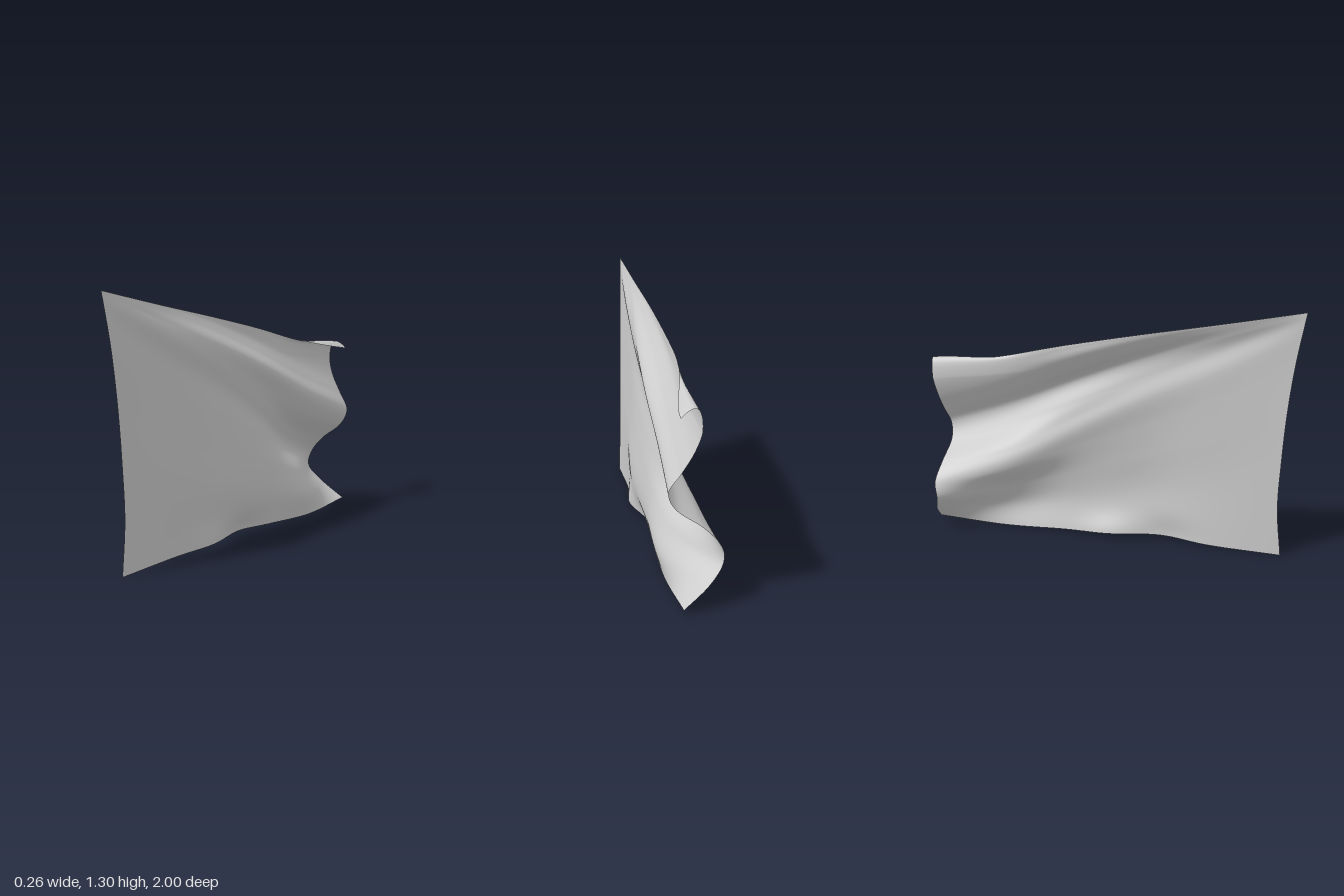
import * as THREE from 'three';

// Smooth curve through evenly spaced values, t in 0..1
function spline(a, t) {
  const n = a.length - 1;
  const i = Math.min(Math.floor(t * n), n - 1);
  const at = (k) => k < 0 ? 2 * a[0] - a[1] : k > n ? 2 * a[n] - a[n - 1] : a[k];
  const f = t * n - i;
  const p0 = at(i - 1), p1 = at(i), p2 = at(i + 1), p3 = at(i + 2);
  return p1 + 0.5 * f * (p2 - p0 + f * (2 * p0 - 5 * p1 + 4 * p2 - p3 + f * (3 * (p1 - p2) + p3 - p0)));
}

const bell = (t, centre, width) => Math.exp(-(((t - centre) / width) ** 2));

// Outline of the cloth: heights of the long edges, depths of the short edges
const topY = [1.305, 1.232, 1.163, 1.088, 1.005, 0.952];
const bottomY = [0, 0.012, 0.03, 0.018, 0.002, 0.025];
const hoistZ = [1, 0.955, 0.925, 0.908, 0.9, 0.925];
const freeZ = [-0.985, -0.97, -0.96, -0.953, -0.94, -0.925, -0.93, -0.94, -0.928, -0.965, -1];

// Sideways sway from top to bottom, at six stations from hoist to free end
const sway = [
  [0.06, 0.06, 0.06, 0.06, 0.06, 0.062, 0.065, 0.07, 0.075, 0.082, 0.09],
  [0.035, 0.035, 0.037, 0.045, 0.062, 0.082, 0.068, 0.075, 0.085, 0.097, 0.087],
  [0.01, 0.01, 0.018, 0.045, 0.093, 0.092, 0.07, 0.09, 0.11, 0.128, 0.1],
  [-0.007, -0.007, 0.0, 0.045, 0.113, 0.08, 0.04, 0.062, 0.095, 0.113, 0.083],
  [-0.017, -0.016, 0.005, 0.055, 0.113, 0.07, -0.03, -0.045, 0.045, 0.1, 0.085],
  [-0.018, -0.018, 0.015, 0.07, 0.125, 0.085, -0.04, -0.12, -0.13, -0.055, 0.065],
];

function clothPoint(u, q) {
  // Folds fan out from the top hoist corner
  const v = Math.pow(q, Math.log(0.06 + 0.5 * u) / Math.log(0.55));
  let x = spline(sway.map((row) => spline(row, q)), u);
  let y = THREE.MathUtils.lerp(spline(topY, u), spline(bottomY, u), v);
  const z = THREE.MathUtils.lerp(spline(hoistZ, v), spline(freeZ, v), u);
  // Minor fold running below the main one
  x += 0.012 * bell(u, 0.65, 0.2) * bell(q, 0.5 + 0.13 * u, 0.04);
  // Lip along the top of the free end, rolling over and down
  const lip = THREE.MathUtils.smoothstep(u, 0.66, 1);
  const t = Math.min(1, v / 0.1);
  x += 0.1 * lip ** 1.3 * (1 - t) ** 2;
  y += lip * (1 - t) * (0.25 * t - 0.025 * (1 - t));
  // Bulge and tuck in the middle of the bottom edge
  x += (0.025 * bell(u, 0.32, 0.08) - 0.035 * bell(u, 0.48, 0.09)) * bell(v, 1, 0.08);
  return [x, y, z];
}

export function createModel() {
  const group = new THREE.Group();
  group.name = 'flag';

  const geometry = new THREE.PlaneGeometry(1, 1, 100, 140);
  const pos = geometry.attributes.position;
  const uv = geometry.attributes.uv;
  for (let i = 0; i < pos.count; i++) {
    pos.setXYZ(i, ...clothPoint(uv.getX(i), 1 - uv.getY(i)));
  }
  geometry.computeVertexNormals();

  // Thin wind-blown cloth
  const cloth = new THREE.Mesh(
    geometry,
    new THREE.MeshStandardMaterial({ color: 0xcccccc, side: THREE.DoubleSide })
  );
  cloth.name = 'cloth';
  group.add(cloth);
  return group;
}
